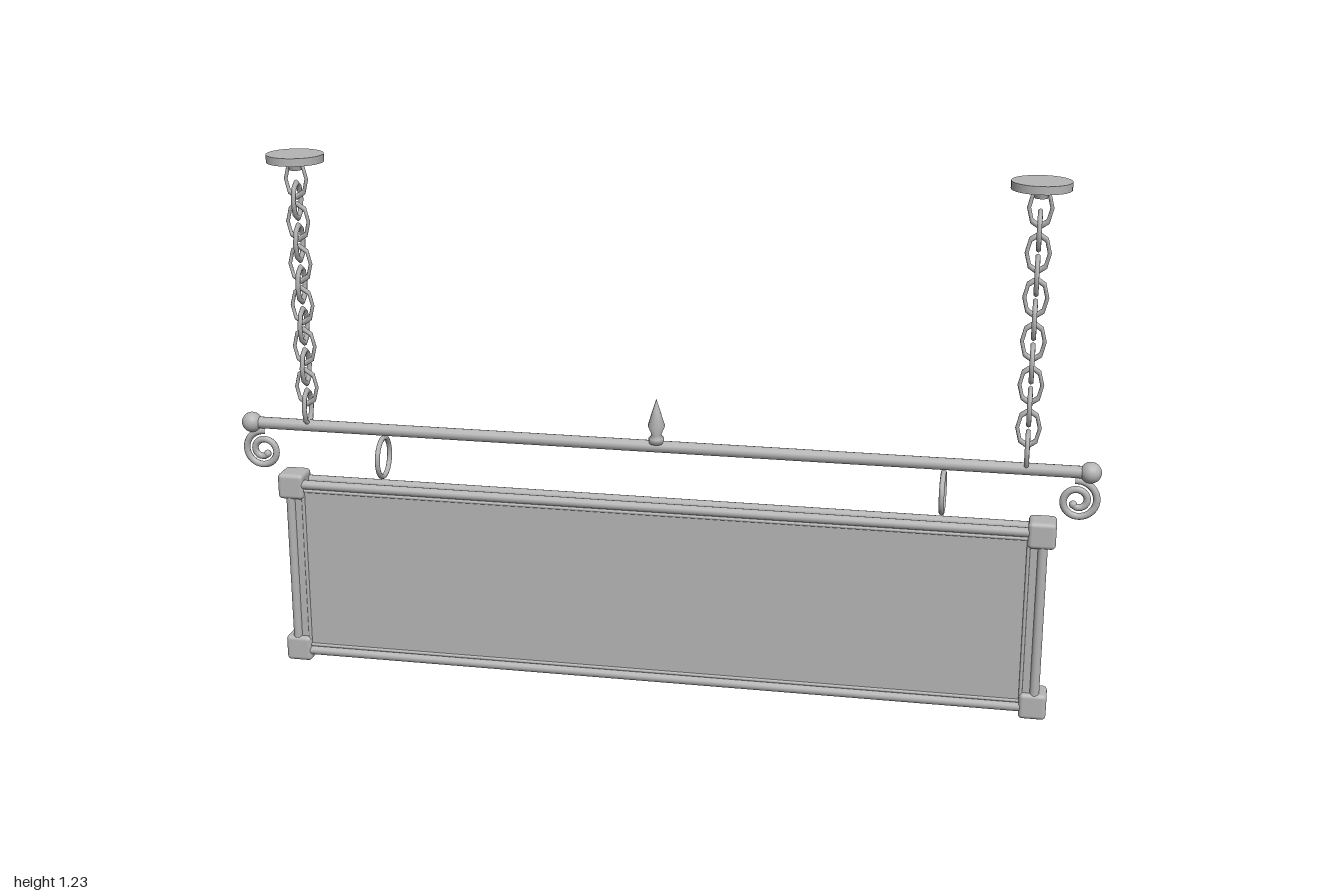
import * as THREE from 'three';
import { RoundedBoxGeometry } from 'three/addons/geometries/RoundedBoxGeometry.js';

export function createModel() {
  const root = new THREE.Group();
  const grey = new THREE.MeshStandardMaterial({ color: 0xb4b4b4 });
  grey.name = 'grey metal';

  function add(name, geometry, x = 0, y = 0, z = 0) {
    const mesh = new THREE.Mesh(geometry, grey);
    mesh.name = name;
    mesh.position.set(x, y, z);
    root.add(mesh);
    return mesh;
  }

  // Straight round bar lying along x or standing along y
  function rod(name, axis, radius, length, x, y, z) {
    const geometry = new THREE.CylinderGeometry(radius, radius, length, 12);
    if (axis === 'x') geometry.rotateZ(Math.PI / 2);
    return add(name, geometry, x, y, z);
  }

  // Sign board
  const midY = 0.24;
  add('signPanel', new THREE.BoxGeometry(1.75, 0.42, 0.044), 0, midY, 0);

  // Frame: paired round rods along the front and back edges, slim bead inside
  for (const z of [-0.02, 0.02]) {
    for (const s of [-1, 1]) {
      rod('frameRail', 'x', 0.011, 1.76, 0, midY + s * 0.211, z);
      rod('frameStile', 'y', 0.011, 0.42, s * 0.876, midY, z);
      const face = Math.sign(z) * 0.022;
      rod('innerBead', 'x', 0.004, 1.69, 0, midY + s * 0.196, face);
      rod('innerBead', 'y', 0.004, 0.392, s * 0.845, midY, face);
    }
  }

  // Spiral that starts under the rail ball and curls down and inwards
  const spiral = [];
  for (let i = 0; i <= 48; i++) {
    const t = i / 48;
    const angle = Math.PI * 0.55 - t * Math.PI * 3.3;
    const r = 0.047 - 0.034 * t;
    spiral.push(new THREE.Vector3(Math.cos(angle) * r, Math.sin(angle) * r, 0));
  }
  const spiralCurve = new THREE.CatmullRomCurve3(spiral);

  // Oval chain link, eight-sided
  const linkGeometry = new THREE.TorusGeometry(0.034, 0.006, 6, 8);
  linkGeometry.scale(0.72, 1.2, 1);

  for (const s of [-1, 1]) {
    // Corner caps
    for (const y of [0.034, 0.446]) {
      add('cornerCap', new RoundedBoxGeometry(0.062, 0.062, 0.066, 3, 0.01), s * 0.873, y, 0);
    }

    // Rings joining rail and sign
    const ring = add('hangingRing', new THREE.TorusGeometry(0.046, 0.006, 8, 28), s * 0.65, 0.525, 0);
    ring.rotation.y = Math.PI / 2;

    // Rail end ball and scroll
    add('railBall', new THREE.SphereGeometry(0.024, 16, 12), s * 0.97, 0.592, 0);
    const scroll = add('scroll', new THREE.TubeGeometry(spiralCurve, 64, 0.008, 8), s * 0.945, 0.525, 0);
    if (s < 0) scroll.rotation.y = Math.PI;
    add('scrollTip', new THREE.SphereGeometry(0.009, 10, 8),
      s * (0.945 + spiral[48].x), 0.525 + spiral[48].y, 0);

    // Chain, every other link turned a quarter
    for (let i = 0; i < 12; i++) {
      const link = add('chainLink', linkGeometry, s * 0.83, 0.637 + i * 0.049, 0);
      if (i % 2 === 0) link.rotation.y = Math.PI / 2;
    }

    // Ceiling plate with a small boss
    add('ceilingPlate', new THREE.CylinderGeometry(0.065, 0.065, 0.018, 28), s * 0.83, 1.225, 0);
    add('plateBoss', new THREE.CylinderGeometry(0.02, 0.014, 0.02, 12), s * 0.83, 1.207, 0);
  }

  // Rail
  rod('rail', 'x', 0.014, 1.94, 0, 0.592, 0);

  // Pointed finial in the middle of the rail
  const profile = [
    [0, 0], [0.018, 0], [0.018, 0.012], [0.011, 0.02], [0.02, 0.042], [0.008, 0.08], [0, 0.105],
  ].map(([x, y]) => new THREE.Vector2(x, y));
  add('finial', new THREE.LatheGeometry(profile, 12), 0, 0.6, 0);

  return root;
}
